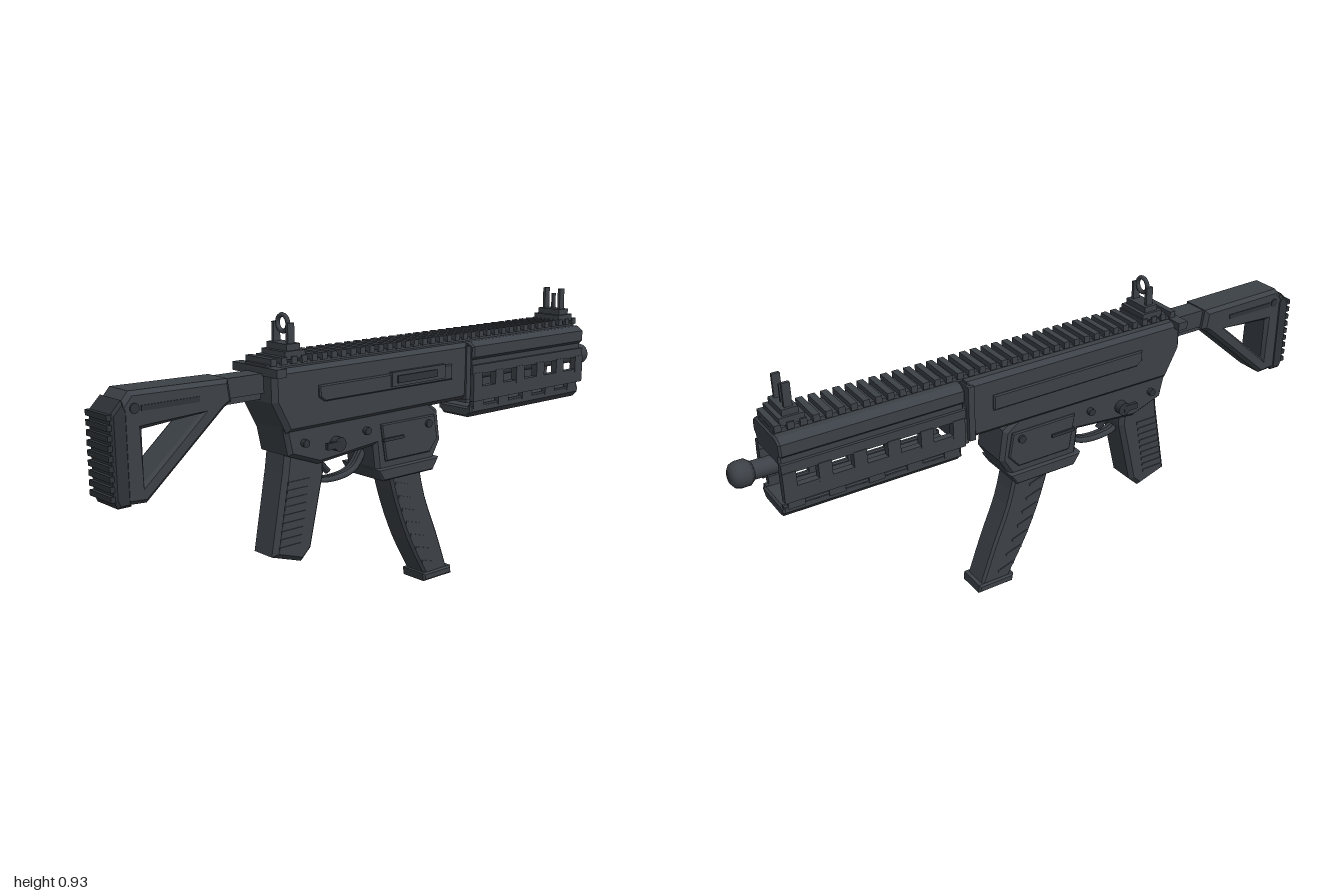
import * as THREE from 'three';

const body = new THREE.MeshStandardMaterial({ color: 0x3c4147 });
body.name = 'slate body';
const dark = new THREE.MeshStandardMaterial({ color: 0x2f3338 });
dark.name = 'dark trim';

export function createModel() {
  const root = new THREE.Group();

  const add = (name, geo, mat = body) => {
    const m = new THREE.Mesh(geo, mat);
    m.name = name;
    root.add(m);
    return m;
  };
  const box = (name, x0, x1, y0, y1, z0, z1, mat) => {
    const g = new THREE.BoxGeometry(x1 - x0, y1 - y0, Math.abs(z1 - z0));
    g.translate((x0 + x1) / 2, (y0 + y1) / 2, (z0 + z1) / 2);
    return add(name, g, mat);
  };
  const toShape = (pts) => new THREE.Shape(pts.map((p) => new THREE.Vector2(...p)));
  const extrude = (pts, depth, bevel, holes = []) => {
    const s = toShape(pts);
    holes.forEach((h) => s.holes.push(new THREE.Path(h.map((p) => new THREE.Vector2(...p)))));
    const g = new THREE.ExtrudeGeometry(s, {
      depth: depth - 2 * bevel, bevelEnabled: bevel > 0, bevelThickness: bevel,
      bevelSize: bevel, bevelOffset: -bevel, bevelSegments: 1, curveSegments: 10,
    });
    return g.translate(0, 0, -depth / 2 + bevel);
  };
  // side profile given as [z, y], extruded across x and centred on cx
  const side = (name, pts, width, bevel = 0.01, holes = [], cx = 0, mat = body) =>
    add(name, extrude(pts, width, bevel, holes).rotateY(-Math.PI / 2).translate(cx, 0, 0), mat);
  // cross-section given as [x, y], extruded along z
  const section = (name, pts, z0, z1, bevel = 0.006, mat = body) =>
    add(name, extrude(pts, Math.abs(z1 - z0), bevel).translate(0, 0, (z0 + z1) / 2), mat);
  const rod = (name, r, y, z0, z1, mat, n = 16) =>
    add(name, new THREE.CylinderGeometry(r, r, Math.abs(z1 - z0), n).rotateX(Math.PI / 2)
      .translate(0, y, (z0 + z1) / 2), mat);
  const pin = (name, r, x, len, y, z) =>
    add(name, new THREE.CylinderGeometry(r, r, len, 12).rotateZ(Math.PI / 2).translate(x, y, z), dark);

  // Stock with triangular opening and ribbed butt pad
  side('stock', [[0.97, 0.735], [0.93, 0.78], [0.62, 0.775], [0.61, 0.71], [0.635, 0.695],
    [0.89, 0.475], [0.97, 0.48]], 0.115, 0.012,
  [[[0.895, 0.53], [0.895, 0.675], [0.71, 0.69]]]);
  side('buttPad', [[0.99, 0.725], [0.955, 0.76], [0.94, 0.73], [0.94, 0.475], [0.98, 0.475], [0.99, 0.5]],
    0.12, 0.008, [], 0, dark);
  for (let i = 0; i < 9; i++) {
    const y = 0.495 + i * 0.027;
    box('buttPadRib', -0.055, 0.055, y, y + 0.016, 0.985, 1.0, dark);
  }
  box('stockTube', -0.036, 0.036, 0.715, 0.772, 0.47, 0.63);
  box('stockTubeKey', -0.02, 0.02, 0.695, 0.715, 0.47, 0.63);

  // Receiver
  side('upperReceiver', [[0.49, 0.785], [-0.3, 0.785], [-0.295, 0.6], [0.44, 0.595], [0.49, 0.69]], 0.17, 0.014);
  box('receiverFrontBand', -0.09, 0.09, 0.598, 0.775, -0.285, -0.305);
  box('rearCap', -0.105, 0.105, 0.765, 0.79, 0.46, 0.495);
  side('lowerReceiver', [[0.45, 0.62], [0.43, 0.525], [0.32, 0.485], [0.1, 0.505], [0.09, 0.42],
    [0.07, 0.395], [-0.14, 0.395], [-0.19, 0.48], [-0.175, 0.58], [-0.14, 0.605], [-0.14, 0.62]], 0.15, 0.012);
  side('magazineWell', [[0.1, 0.43], [0.075, 0.39], [-0.14, 0.39], [-0.165, 0.43]], 0.176, 0.005);
  for (const s of [1, -1]) {
    side('receiverPanel', [[0.33, 0.725], [-0.22, 0.725], [-0.22, 0.675], [0.31, 0.675], [0.33, 0.69]],
      0.012, 0.004, [], s * 0.086);
    side('lowerPanel', [[0.08, 0.57], [-0.15, 0.57], [-0.165, 0.49], [-0.13, 0.45], [0.06, 0.45]],
      0.012, 0.004, [], s * 0.076);
    pin('selector', 0.022, s * 0.085, 0.03, 0.54, 0.26);
    box('selectorLever', s * 0.095 - 0.006, s * 0.095 + 0.006, 0.53, 0.55, 0.26, 0.31, dark);
    pin('takedownPin', 0.013, s * 0.08, 0.02, 0.545, -0.12);
    pin('rearPin', 0.012, s * 0.08, 0.02, 0.56, 0.38);
    pin('centrePin', 0.012, s * 0.08, 0.02, 0.56, 0.14);
    box('magazineCatch', s * 0.083 - 0.005, s * 0.083 + 0.005, 0.515, 0.525, -0.01, 0.075, dark);
    box('stockGroove', s * 0.058 - 0.002, s * 0.058 + 0.002, 0.725, 0.74, 0.72, 0.9, dark);
    pin('stockPin', 0.014, s * 0.056, 0.01, 0.735, 0.92);
  }
  box('ejectionCover', 0.085, 0.098, 0.685, 0.73, 0.05, -0.18);
  box('ejectionPort', 0.097, 0.103, 0.695, 0.718, 0.03, -0.14, dark);

  // Top rail with teeth
  box('railBase', -0.05, 0.05, 0.78, 0.797, 0.49, -0.88);
  for (let i = 0; i < 37; i++) {
    const z = 0.48 - i * 0.0372;
    box('railTooth', -0.06, 0.06, 0.792, 0.813, z, z - 0.02);
  }

  // Handguard: roof, two slotted side walls, lower tray and end posts
  section('handguardRoof', [[-0.07, 0.785], [0.07, 0.785], [0.092, 0.77], [0.092, 0.735], [0.08, 0.725],
    [0.08, 0.7], [-0.08, 0.7], [-0.08, 0.725], [-0.092, 0.735], [-0.092, 0.77]], -0.315, -0.885);
  for (const s of [1, -1]) {
    const xc = s * 0.08;
    box('sideRailUpper', xc - 0.01, xc + 0.01, 0.678, 0.708, -0.315, -0.885);
    box('sideRailLower', xc - 0.011, xc + 0.011, 0.588, 0.635, -0.32, -0.885);
    for (let i = 0; i < 6; i++) {
      const z = -0.32 - i * 0.105;
      box('sidePost', xc - 0.012, xc + 0.012, 0.625, 0.682, z, z - 0.04);
    }
    side('lowerSlotRail', [[-0.325, 0.572], [-0.885, 0.572], [-0.885, 0.545], [-0.325, 0.545]],
      0.016, 0.004, [], s * 0.066);
    for (let i = 0; i < 5; i++) {
      const z = -0.335 - i * 0.122;
      box('trayPost', s * 0.068 - 0.01, s * 0.068 + 0.01, 0.56, 0.595, z, z - 0.05);
    }
  }
  section('handguardTray', [[-0.075, 0.565], [0.075, 0.565], [0.075, 0.55], [0.055, 0.53],
    [-0.055, 0.53], [-0.075, 0.55]], -0.325, -0.888);
  box('handguardRearWall', -0.075, 0.075, 0.585, 0.705, -0.3, -0.33);

  // Barrel and muzzle
  rod('barrel', 0.027, 0.667, -0.3, -0.96);
  add('muzzle', new THREE.LatheGeometry([[0, -1], [0.02, -1], [0.034, -0.99], [0.039, -0.975], [0.039, -0.95],
    [0.027, -0.935], [0, -0.935]].map(([r, z]) => new THREE.Vector2(r, -z)).reverse(), 16)
    .rotateX(-Math.PI / 2).translate(0, 0.667, 0), new THREE.MeshStandardMaterial().copy(body))
    .material = new Object(body);
  rod('bore', 0.018, 0.667, -0.99, -1.0, dark);

  // Sights
  for (const z of [0.39, -0.825]) {
    box('sightFoot', -0.055, 0.055, 0.805, 0.828, z - 0.037, z + 0.037);
    box('sightBase', -0.047, 0.047, 0.825, 0.847, z - 0.024, z + 0.024);
    for (const s of [1, -1]) {
      box('sightPost', s * 0.033 - 0.005, s * 0.033 + 0.005, 0.84, z > 0 ? 0.905 : 0.918, z - 0.012, z + 0.012);
    }
  }
  add('rearSightRing', new THREE.TorusGeometry(0.024, 0.007, 8, 20).translate(0, 0.902, 0.39));
  box('frontSightPin', -0.004, 0.004, 0.84, 0.9, -0.818, -0.832);

  // Pistol grip with ribs
  side('grip', [[0.425, 0.54], [0.435, 0.47], [0.48, 0.225], [0.372, 0.19], [0.335, 0.225],
    [0.282, 0.45], [0.285, 0.51]], 0.112, 0.014);
  for (let i = 0; i < 9; i++) {
    const y = 0.245 + i * 0.024;
    const z = 0.462 - i * 0.0044;
    box('gripRib', -0.059, 0.059, y, y + 0.009, z, z - 0.08);
  }

  // Trigger and guard
  const path = (pts) => new THREE.CatmullRomCurve3(pts.map(([z, y]) => new THREE.Vector3(0, y, z)));
  for (const x of [-0.012, 0, 0.012]) {
    add('triggerGuard', new THREE.TubeGeometry(path([[0.3, 0.44], [0.28, 0.42], [0.19, 0.412], [0.13, 0.43],
      [0.09, 0.48]]), 20, 0.009, 6).translate(x, 0, 0));
  }
  add('trigger', new THREE.TubeGeometry(path([[0.265, 0.51], [0.26, 0.47], [0.23, 0.435]]), 10, 0.011, 8), dark);

  // Curved magazine with ribs and floor plate
  const rear = [[0.015, 0.41], [-0.02, 0.29], [-0.075, 0.155], [-0.15, 0.02]];
  const front = [[-0.255, 0.02], [-0.205, 0.155], [-0.15, 0.29], [-0.12, 0.41]];
  const smooth = (pts) => new THREE.SplineCurve(pts.map((p) => new THREE.Vector2(...p)))
    .getPoints(9).map((p) => [p.x, p.y]);
  side('magazine', [...smooth(rear), ...smooth(front)], 0.092, 0.008);
  const spine = new THREE.SplineCurve(rear.map((p) => new THREE.Vector2(...p)));
  for (let i = 0; i < 7; i++) {
    const p = spine.getPoint(0.16 + i * 0.115);
    const rib = box('magazineRib', -0.049, 0.049, -0.005, 0.005, -0.03, 0.03);
    rib.position.set(0, p.y - 0.01, p.x - 0.042);
    rib.rotation.x = -0.3;
  }
  side('magazineFloorPlate', [[-0.135, 0.028], [-0.14, 0], [-0.268, 0], [-0.265, 0.028]], 0.106, 0.006);

  return root;
}
